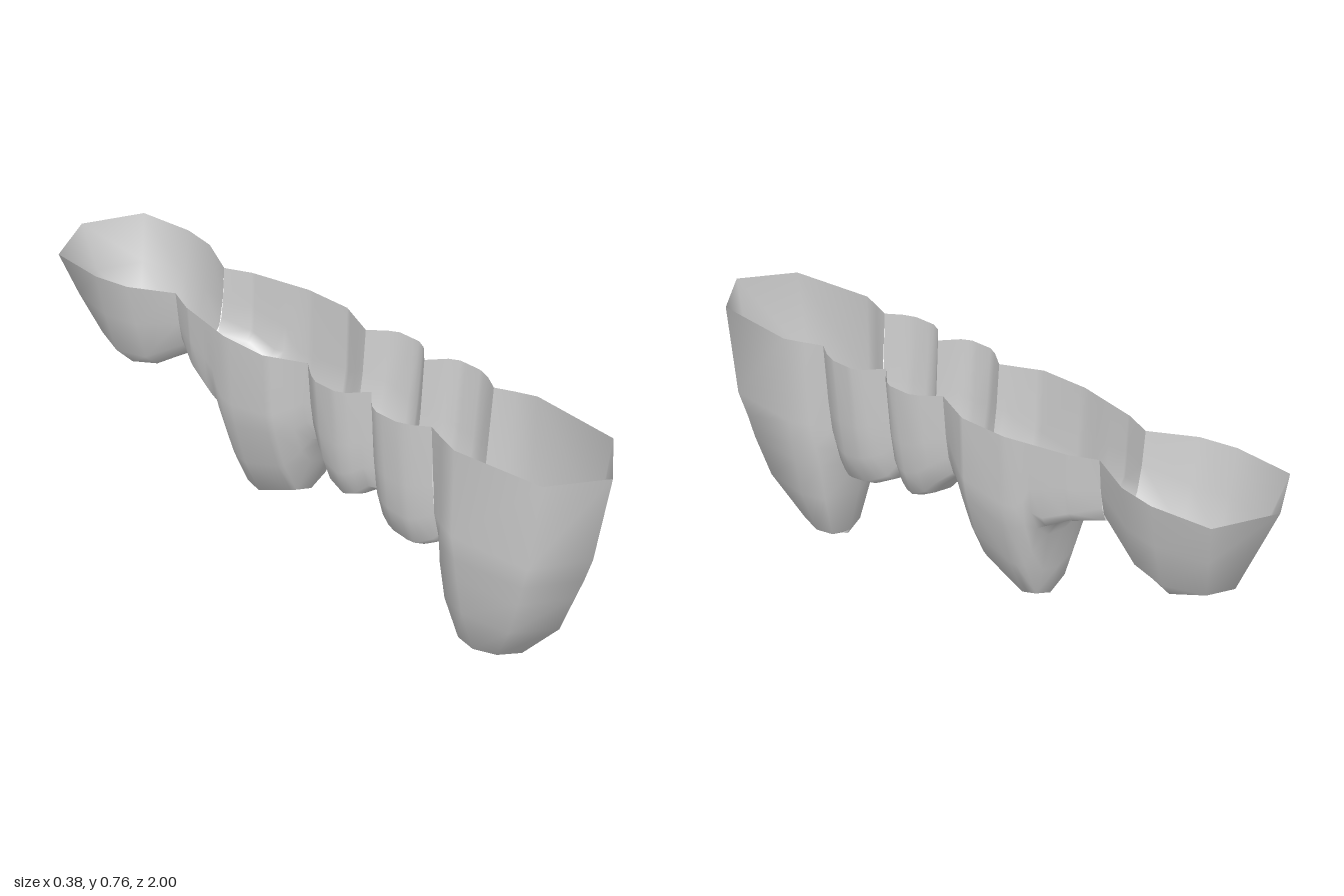
import * as THREE from 'three';
import { mergeVertices } from 'three/addons/utils/BufferGeometryUtils.js';

const RIM = 0.76;
const material = new THREE.MeshStandardMaterial({ color: 0xcccccc, side: THREE.DoubleSide });

// Half cross-sections as [height fraction, width fraction], keel to rim
const PLAIN = [[0, 0], [0.04, 0.4], [0.1, 0.66], [0.3, 0.82], [0.55, 0.91], [1, 1]];
const SHELF = [[0, 0], [0.03, 0.5], [0.08, 0.8], [0.2, 0.93], [0.55, 0.97], [1, 1]];
const TAPERED = [[0, 0], [0.05, 0.38], [0.26, 0.69], [0.5, 0.9], [0.63, 0.97], [1, 1]];

// Smooth open surface through equal-length rows of points
function skin(name, rows) {
  const n = rows[0].length, idx = [];
  for (let i = 1; i < rows.length; i++) {
    for (let j = 1; j < n; j++) {
      const d = i * n + j, c = d - 1, b = d - n, a = b - 1;
      idx.push(a, c, b, b, c, d);
    }
  }
  let g = new THREE.BufferGeometry();
  g.setAttribute('position', new THREE.Float32BufferAttribute(rows.flat(2), 3));
  g.setIndex(idx);
  g = mergeVertices(g, 1e-4);
  g.computeVertexNormals();
  const mesh = new THREE.Mesh(g, material);
  mesh.name = name;
  return mesh;
}

// End cup: half rings from the outer tip round to the joint, mirrored in x
function endLobe(name, halfRings) {
  const s = -Math.sign(halfRings[0][0][2]);
  return skin(name, halfRings.map(half => [
    ...half.map(([x, y, z]) => [s * x, y, z]).reverse(),
    ...half.slice(1).map(([x, y, z]) => [-s * x, y, z])
  ]));
}

// Piecewise linear lookup in a list of [z, value] pairs
function sample(list, z) {
  const i = Math.max(1, list.findIndex(p => z <= p[0]));
  const [z0, v0] = list[i - 1], [z1, v1] = list[i];
  const k = (z - z0) / (z1 - z0), mix = (a, b) => a + (b - a) * k;
  return Array.isArray(v0) ? v0.map((p, j) => p.map((v, m) => mix(v, v1[j][m]))) : mix(v0, v1);
}

// Inner lobe: U sections along z between rim outline and keel line
function innerLobe(name, profiles, outline, keel) {
  const zs = [...new Set([...outline, ...keel].map(p => p[0]))].sort((a, b) => a - b);
  return skin(name, zs.map(z => {
    const w = sample(outline, z), b = sample(keel, z);
    const half = sample(profiles, z).map(([t, f]) => [w * f, b + (RIM - b) * t, z]);
    return [...half.slice().reverse(), ...half.slice(1).map(([x, y]) => [-x, y, z])];
  }));
}

export function createModel() {
  const group = new THREE.Group();
  group.name = 'lobedTrough';

  group.add(
    // Shallow cup at the back
    endLobe('backLobe', [
      [[0, RIM, -1], [0.175, RIM, -0.91], [0.19, RIM, -0.73], [0.17, RIM, -0.62], [0.1, RIM, -0.49]],
      [[0, 0.62, -0.942], [0.132, 0.62, -0.88], [0.165, 0.62, -0.73], [0.143, 0.62, -0.62], [0.09, 0.657, -0.49]],
      [[0, 0.47, -0.88], [0.08, 0.475, -0.845], [0.128, 0.48, -0.73], [0.108, 0.49, -0.625], [0.073, 0.575, -0.49]],
      [[0, 0.45, -0.84], [0.05, 0.435, -0.79], [0.075, 0.42, -0.72], [0.065, 0.45, -0.62], [0.04, 0.539, -0.49]],
      [[0, 0.44, -0.81], [0, 0.42, -0.76], [0, 0.4, -0.72], [0, 0.44, -0.62], [0, 0.53, -0.49]]
    ]),
    // Long lobe: a flat shelf, then a hanging boss
    innerLobe('middleLobe',
      [[-0.49, PLAIN], [-0.4, SHELF], [-0.33, SHELF], [-0.26, TAPERED], [-0.05, TAPERED], [0.05, PLAIN]],
      [[-0.49, 0.1], [-0.41, 0.135], [-0.22, 0.175], [-0.07, 0.175], [0.05, 0.12]],
      [[-0.49, 0.53], [-0.4, 0.515], [-0.33, 0.47], [-0.295, 0.41], [-0.275, 0.27], [-0.25, 0.17],
        [-0.2, 0.155], [-0.05, 0.23], [0, 0.36], [0.03, 0.44], [0.05, 0.46]]),
    // Two narrow lobes
    innerLobe('rearNarrowLobe', [[0.05, PLAIN], [0.275, PLAIN]],
      [[0.05, 0.12], [0.1, 0.16], [0.13, 0.175], [0.2, 0.175], [0.23, 0.16], [0.275, 0.11]],
      [[0.05, 0.46], [0.1, 0.41], [0.13, 0.37], [0.18, 0.34], [0.22, 0.36], [0.25, 0.39], [0.275, 0.385]]),
    innerLobe('frontNarrowLobe', [[0.275, PLAIN], [0.505, PLAIN]],
      [[0.275, 0.11], [0.32, 0.16], [0.35, 0.175], [0.42, 0.175], [0.46, 0.16], [0.505, 0.13]],
      [[0.275, 0.385], [0.3, 0.34], [0.37, 0.3], [0.44, 0.29], [0.49, 0.32], [0.505, 0.34]]),
    // Deep lobe at the front, its back wall closing below the joint
    endLobe('frontLobe', [
      [[0, RIM, 1], [0.15, RIM, 0.89], [0.175, RIM, 0.62], [0.153, RIM, 0.56], [0.13, RIM, 0.505]],
      [[0, 0.48, 0.96], [0.15, 0.48, 0.86], [0.172, 0.48, 0.62], [0.147, 0.48, 0.56], [0.107, 0.466, 0.505]],
      [[0, 0.4, 0.937], [0.138, 0.4, 0.837], [0.162, 0.4, 0.625], [0.137, 0.4, 0.55], [0.086, 0.382, 0.505]],
      [[0, 0.33, 0.913], [0.13, 0.33, 0.82], [0.15, 0.33, 0.625], [0.125, 0.33, 0.545], [0, 0.33, 0.48]],
      [[0, 0.2, 0.87], [0.108, 0.2, 0.78], [0.128, 0.2, 0.63], [0.105, 0.2, 0.55], [0, 0.2, 0.51]],
      [[0, 0.05, 0.75], [0.05, 0.045, 0.7], [0.07, 0.04, 0.63], [0.062, 0.045, 0.57], [0, 0.04, 0.555]],
      [[0, 0.035, 0.72], [0, 0.015, 0.67], [0, 0, 0.63], [0, 0.012, 0.59], [0, 0.02, 0.565]]
    ])
  );
  return group;
}
